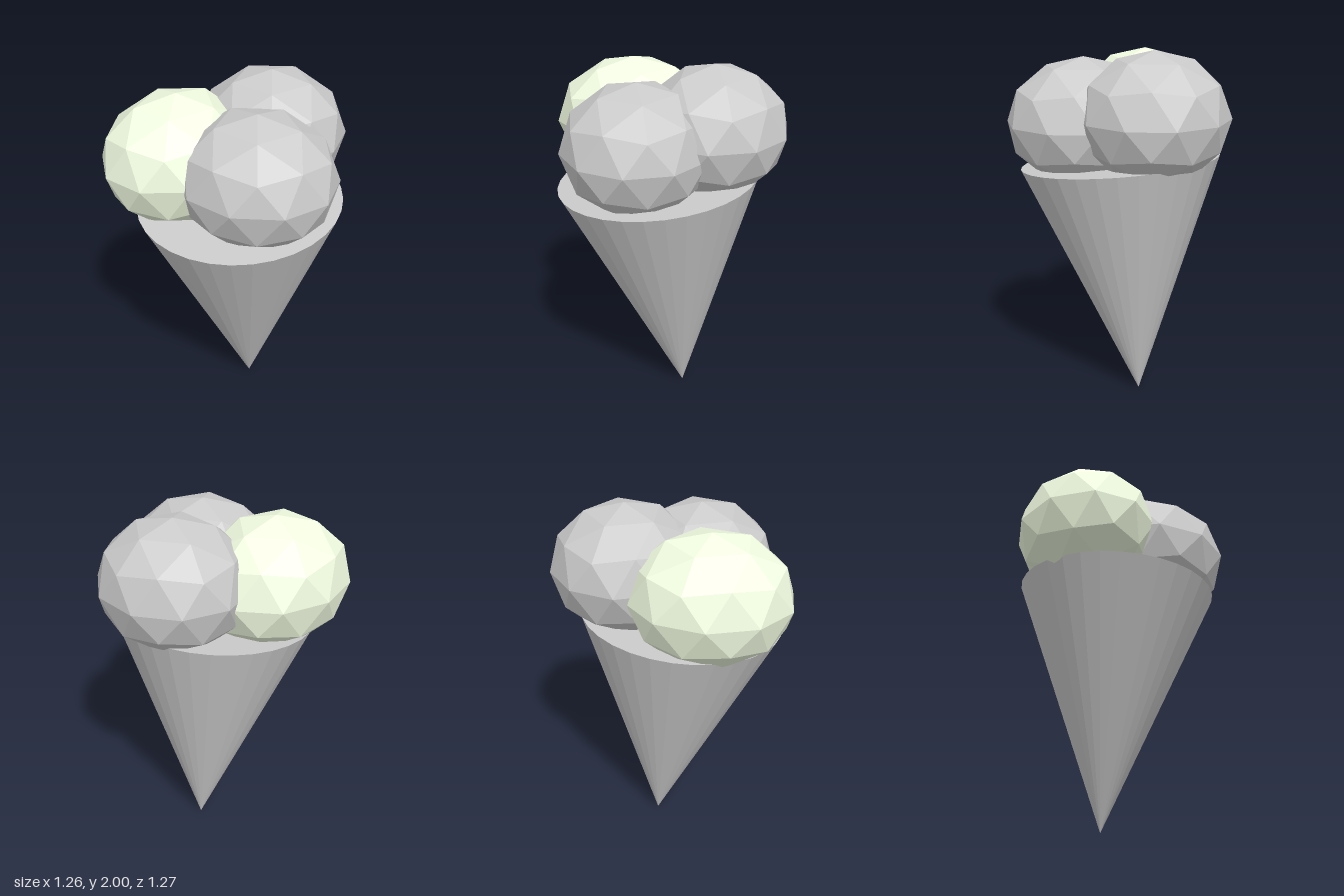
import * as THREE from 'three';

const grey = new THREE.MeshStandardMaterial({ color: 0xcccccc, flatShading: true });
const paleGreen = new THREE.MeshStandardMaterial({ color: 0xf2fde2, flatShading: true });

// Faceted scoop: icosphere standing on a vertex, squashed per axis
function scoop(name, material, position, scale) {
  const geometry = new THREE.IcosahedronGeometry(1, 1);
  geometry.rotateZ(-Math.atan(2 / (1 + Math.sqrt(5))));
  geometry.scale(...scale);
  const mesh = new THREE.Mesh(geometry, material);
  mesh.name = name;
  mesh.position.set(...position);
  return mesh;
}

// Closed cone leaning from its tip to the centre of its rim
function cone(tip, rim, radius) {
  const axis = rim.clone().sub(tip);
  const height = axis.length();
  const geometry = new THREE.ConeGeometry(radius, height, 32);
  geometry.rotateX(Math.PI);
  geometry.translate(0, height / 2, 0);
  const mesh = new THREE.Mesh(geometry, grey);
  mesh.name = 'cone';
  mesh.position.copy(tip);
  mesh.quaternion.setFromUnitVectors(new THREE.Vector3(0, 1, 0), axis.normalize());
  return mesh;
}

export function createModel() {
  const group = new THREE.Group();
  group.name = 'iceCreamCone';
  group.add(
    cone(new THREE.Vector3(0.09, 0, -0.015), new THREE.Vector3(-0.05, 1.37, 0.02), 0.556),
    scoop('leftScoop', grey, [0.25, 1.65, 0], [0.4, 0.35, 0.41]),
    scoop('frontScoop', grey, [-0.135, 1.595, 0.2], [0.405, 0.35, 0.432]),
    scoop('backScoop', paleGreen, [-0.22, 1.61, -0.255], [0.435, 0.35, 0.38])
  );
  return group;
}
